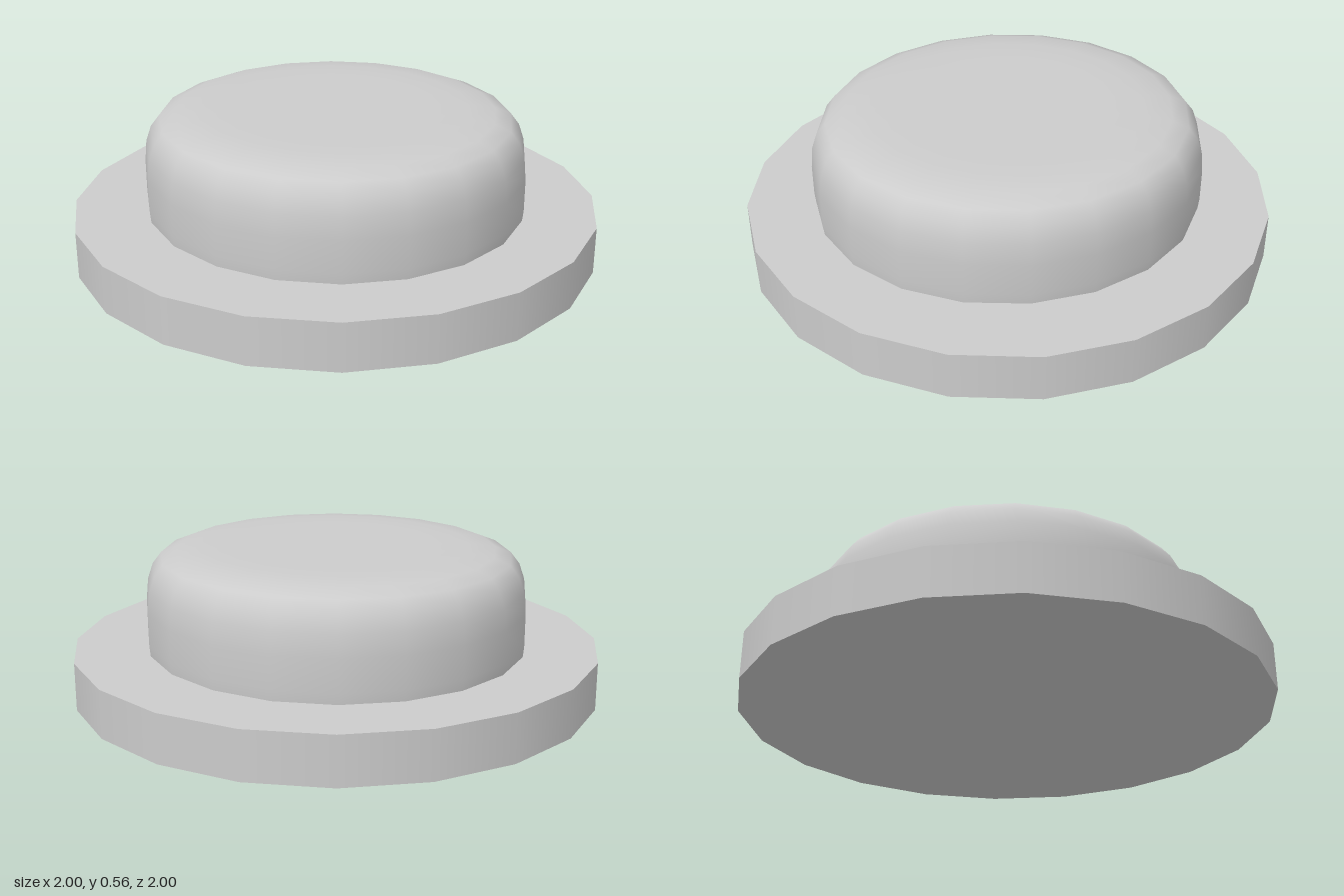
import * as THREE from 'three';

const SIDES = 20;

export function createModel() {
  const model = new THREE.Group();
  const material = new THREE.MeshStandardMaterial({ color: 0xcccccc });

  // Flat round base plate
  const base = new THREE.Mesh(new THREE.CylinderGeometry(1, 1, 0.18, SIDES), material);
  base.name = 'basePlate';
  base.position.y = 0.09;
  model.add(base);

  // Rounded cap, slightly narrower across x than z
  const profile = [
    [0.74, 0.17], [0.745, 0.22], [0.745, 0.34], [0.737, 0.42], [0.716, 0.48],
    [0.682, 0.523], [0.62, 0.547], [0.52, 0.558], [0.4, 0.56], [0, 0.56],
  ].map(([r, y]) => new THREE.Vector2(r, y));
  const cap = new THREE.Mesh(new THREE.LatheGeometry(profile, SIDES), material);
  cap.name = 'roundedCap';
  cap.scale.x = 0.972;
  model.add(cap);

  return model;
}
